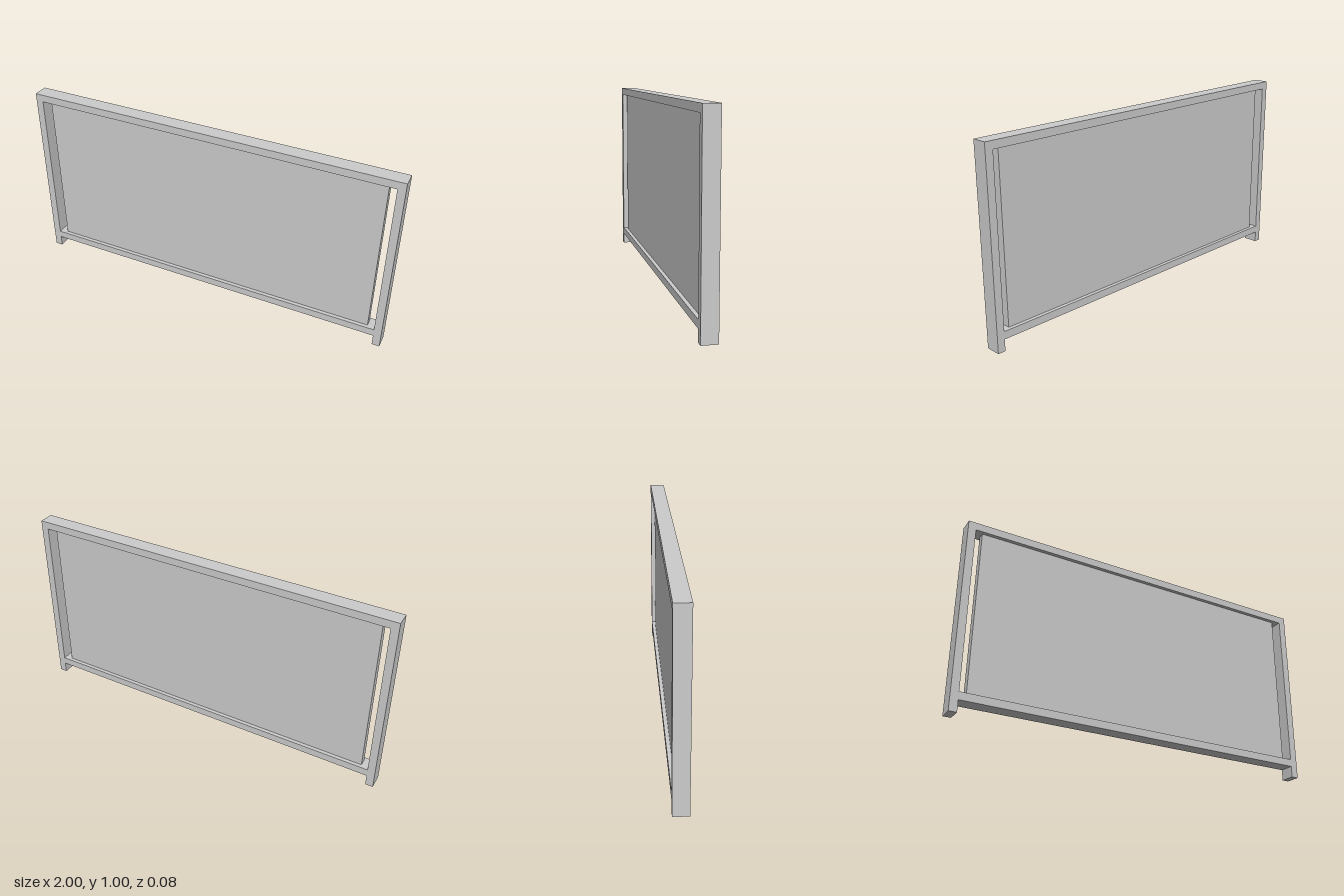
import * as THREE from 'three';

export function createModel() {
  const group = new THREE.Group();
  const material = new THREE.MeshStandardMaterial({ color: 0xcccccc });
  const W = 1, H = 1, bar = 0.04, depth = 0.08, leg = 0.06;
  const inner = W - bar;

  // Frame outline: two posts running down into feet, joined by top and bottom rails
  const outline = new THREE.Shape([
    [-W, 0], [-inner, 0], [-inner, leg], [inner, leg],
    [inner, 0], [W, 0], [W, H], [-W, H],
  ].map(([x, y]) => new THREE.Vector2(x, y)));

  // Opening between the posts and rails
  outline.holes.push(new THREE.Path([
    [-inner, leg + bar], [-inner, H - bar], [inner, H - bar], [inner, leg + bar],
  ].map(([x, y]) => new THREE.Vector2(x, y))));

  const frameGeometry = new THREE.ExtrudeGeometry(outline, { depth, bevelEnabled: false });
  frameGeometry.translate(0, 0, -depth / 2);
  const frame = new THREE.Mesh(frameGeometry, material);
  frame.name = 'frame';
  group.add(frame);

  // Infill panel, held by the rails with a gap beside each post
  const bottom = leg + bar, top = H - bar;
  const panel = new THREE.Mesh(new THREE.BoxGeometry(1.84, top - bottom, 0.04), material);
  panel.position.y = (top + bottom) / 2;
  panel.name = 'panel';
  group.add(panel);

  return group;
}
